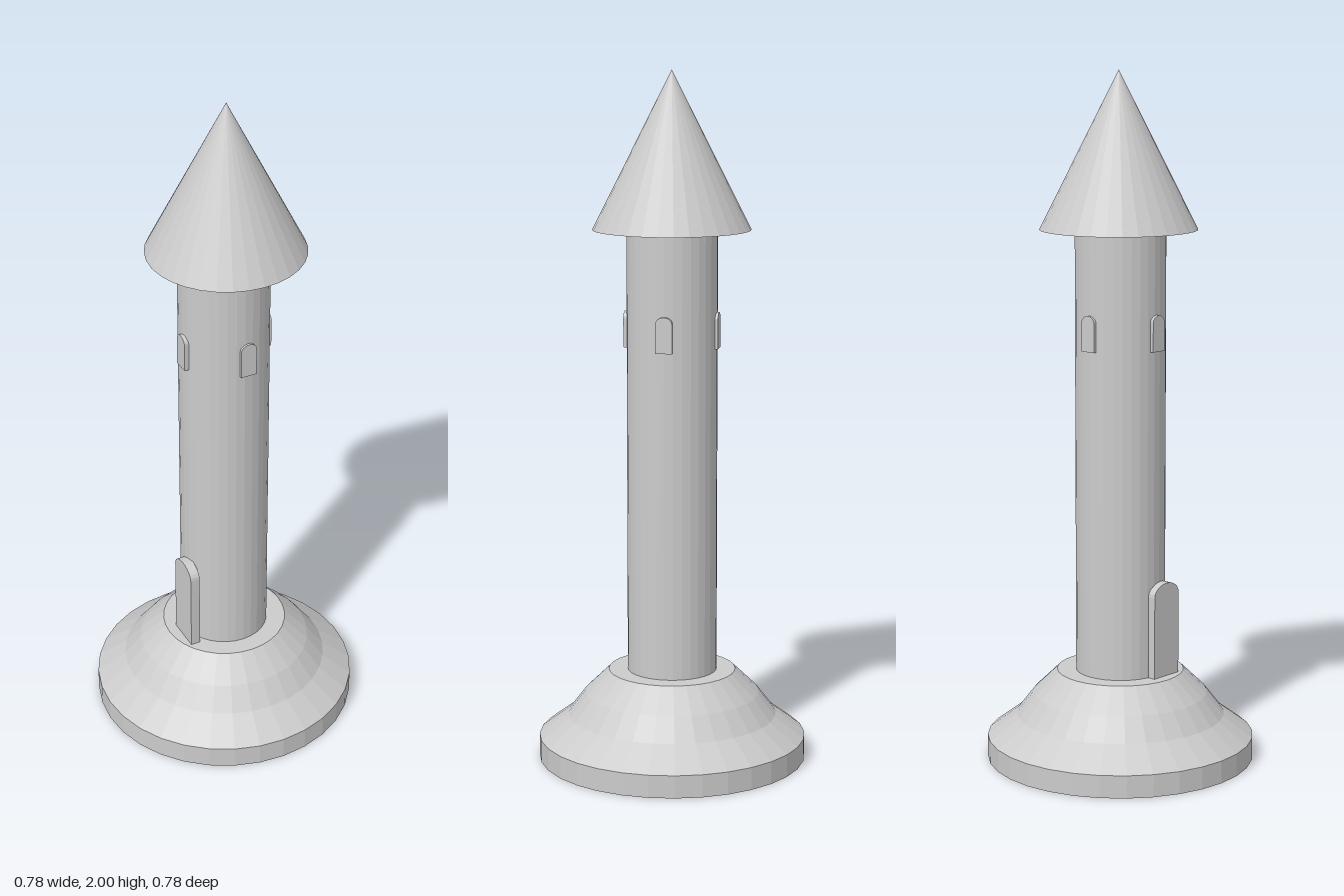
import * as THREE from 'three';

const SIDES = 32;

export function createModel() {
  const model = new THREE.Group();
  const material = new THREE.MeshStandardMaterial({ color: 0xcccccc, flatShading: true });

  const add = (name, geometry, x = 0, y = 0, z = 0, turn = 0) => {
    const mesh = new THREE.Mesh(geometry, material);
    mesh.name = name;
    mesh.position.set(x, y, z);
    mesh.rotation.y = turn;
    model.add(mesh);
    return mesh;
  };

  // Slab with a low arched top, standing on y = 0 and facing +z with its face at z = 0
  const archedSlab = (width, height, rise, depth) => {
    const w = width / 2;
    const shape = new THREE.Shape();
    shape.moveTo(-w, 0);
    shape.lineTo(w, 0);
    shape.lineTo(w, height - rise);
    shape.absellipse(0, height - rise, w, rise, 0, Math.PI, false, 0);
    shape.closePath();
    return new THREE.ExtrudeGeometry(shape, { depth, bevelEnabled: false, curveSegments: 6 })
      .translate(0, 0, -depth);
  };

  // Stepped, sloping foot
  const profile = [[0, 0], [0.39, 0], [0.39, 0.066], [0.305, 0.13], [0.255, 0.195], [0.185, 0.263], [0, 0.263]]
    .map(([r, y]) => new THREE.Vector2(r, y));
  add('base', new THREE.LatheGeometry(profile, SIDES));

  // Round shaft
  add('towerShaft', new THREE.CylinderGeometry(0.13, 0.13, 1.31, SIDES), -0.001, 0.905, 0);

  // Pointed roof
  add('roof', new THREE.ConeGeometry(0.226, 0.448, SIDES), 0.006, 1.776, 0);

  // Door on the -x side
  add('door', archedSlab(0.104, 0.277, 0.036, 0.029), -0.153, 0.263, 0.031, -Math.PI / 2);

  // Four windows around the shaft
  const windowShape = archedSlab(0.048, 0.103, 0.02, 0.025);
  [
    ['windowFront', 0.008, 0.136, 0],
    ['windowLeft', 0.138, 0, Math.PI / 2],
    ['windowBack', 0, -0.136, Math.PI],
    ['windowRight', -0.14, 0.008, -Math.PI / 2],
  ].forEach(([name, x, z, turn]) => add(name, windowShape, x, 1.215, z, turn));

  return model;
}
